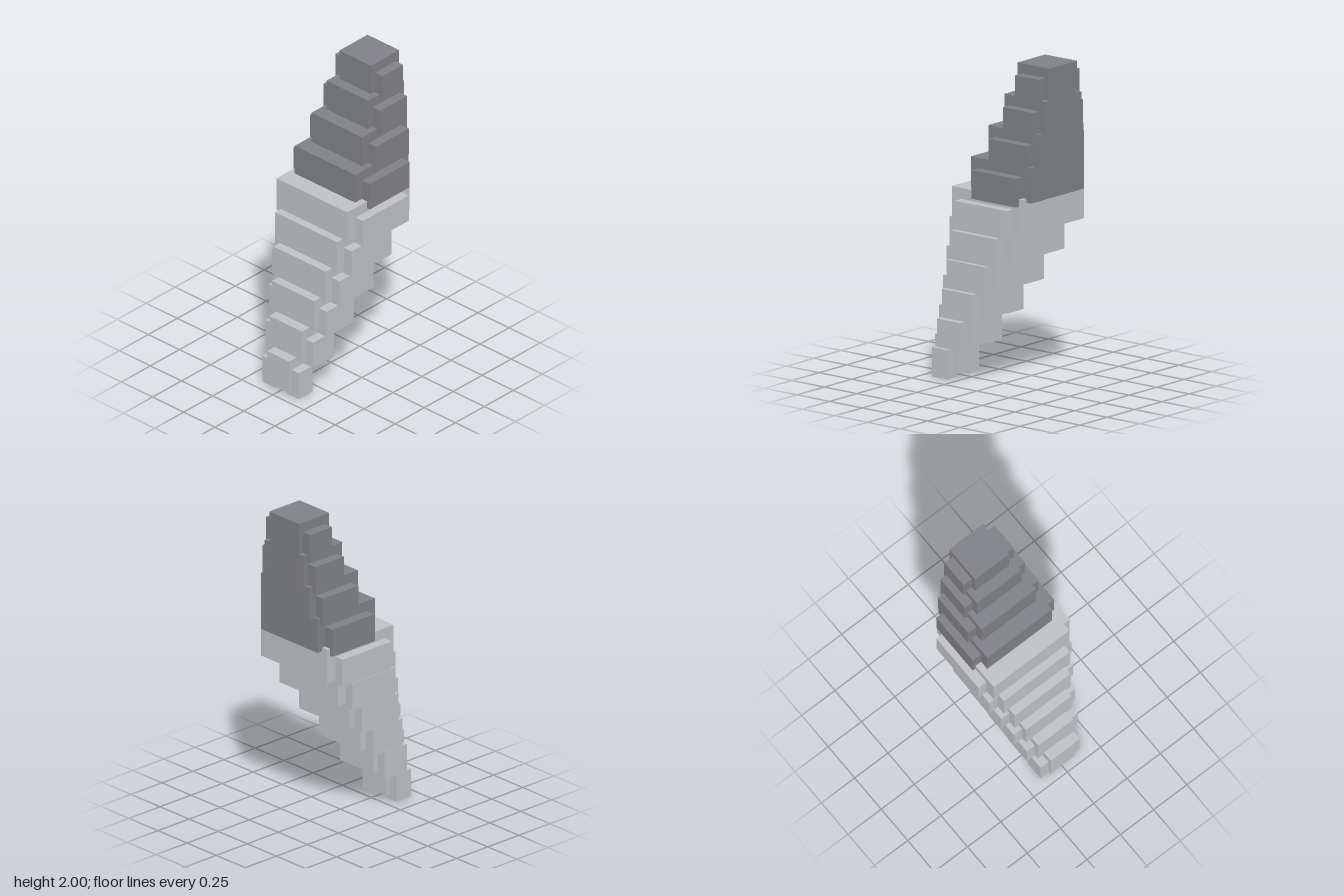
import * as THREE from 'three';

// Each tier: core [halfWidth, y0, y1, zBack, zFront], side plates [outerX, y0, y1, zBack, zFront]
const TIERS = [
  { core: [0.088, 0.027, 0.245, 0.29, 0.455], side: [0.147, 0, 0.178, 0.315, 0.432] },
  { core: [0.131, 0.222, 0.44, 0.143, 0.39], side: [0.19, 0.2, 0.372, 0.177, 0.357] },
  { core: [0.17, 0.42, 0.636, 0.003, 0.325], side: [0.231, 0.398, 0.57, 0.046, 0.284] },
  { core: [0.209, 0.616, 0.83, -0.128, 0.268], side: [0.27, 0.594, 0.765, -0.08, 0.215] },
  { core: [0.248, 0.81, 1.025, -0.256, 0.213], side: [0.308, 0.786, 0.959, -0.193, 0.152] },
  { core: [0.284, 1.005, 1.222, -0.374, 0.163], side: [0.343, 0.982, 1.155, -0.304, 0.092] },
  { core: [0.243, 1.198, 1.412, -0.41, 0.05], side: [0.306, 1.176, 1.349, -0.351, -0.008] },
  { core: [0.204, 1.394, 1.61, -0.438, -0.051], side: [0.265, 1.372, 1.546, -0.389, -0.104] },
  { core: [0.167, 1.59, 1.806, -0.453, -0.142], side: [0.227, 1.568, 1.743, -0.413, -0.183] },
  { core: [0.127, 1.785, 2, -0.453, -0.21], side: [0.188, 1.764, 1.938, -0.421, -0.242] },
];
const LIGHT_TIERS = 6;

function block(name, material, x0, x1, [, y0, y1, z0, z1]) {
  const mesh = new THREE.Mesh(new THREE.BoxGeometry(x1 - x0, y1 - y0, z1 - z0), material);
  mesh.position.set((x0 + x1) / 2, (y0 + y1) / 2, (z0 + z1) / 2);
  mesh.name = name;
  return mesh;
}

export function createModel() {
  const light = new THREE.MeshStandardMaterial({ color: 0xc0c1c5 });
  light.name = 'lightGrey';
  const dark = new THREE.MeshStandardMaterial({ color: 0x808186 });
  dark.name = 'darkGrey';

  const model = new THREE.Group();
  model.name = 'leaningSteppedColumn';

  TIERS.forEach(({ core, side }, i) => {
    const material = i < LIGHT_TIERS ? light : dark;
    const tier = new THREE.Group();
    tier.name = `tier${i + 1}`;
    const outer = side[0];
    const inner = outer * 0.35; // side blocks run into the core
    tier.add(
      block('coreBlock', material, -core[0], core[0], core),
      block('leftBlock', material, inner, outer, side),
      block('rightBlock', material, -outer, -inner, side),
    );
    model.add(tier);
  });
  return model;
}
